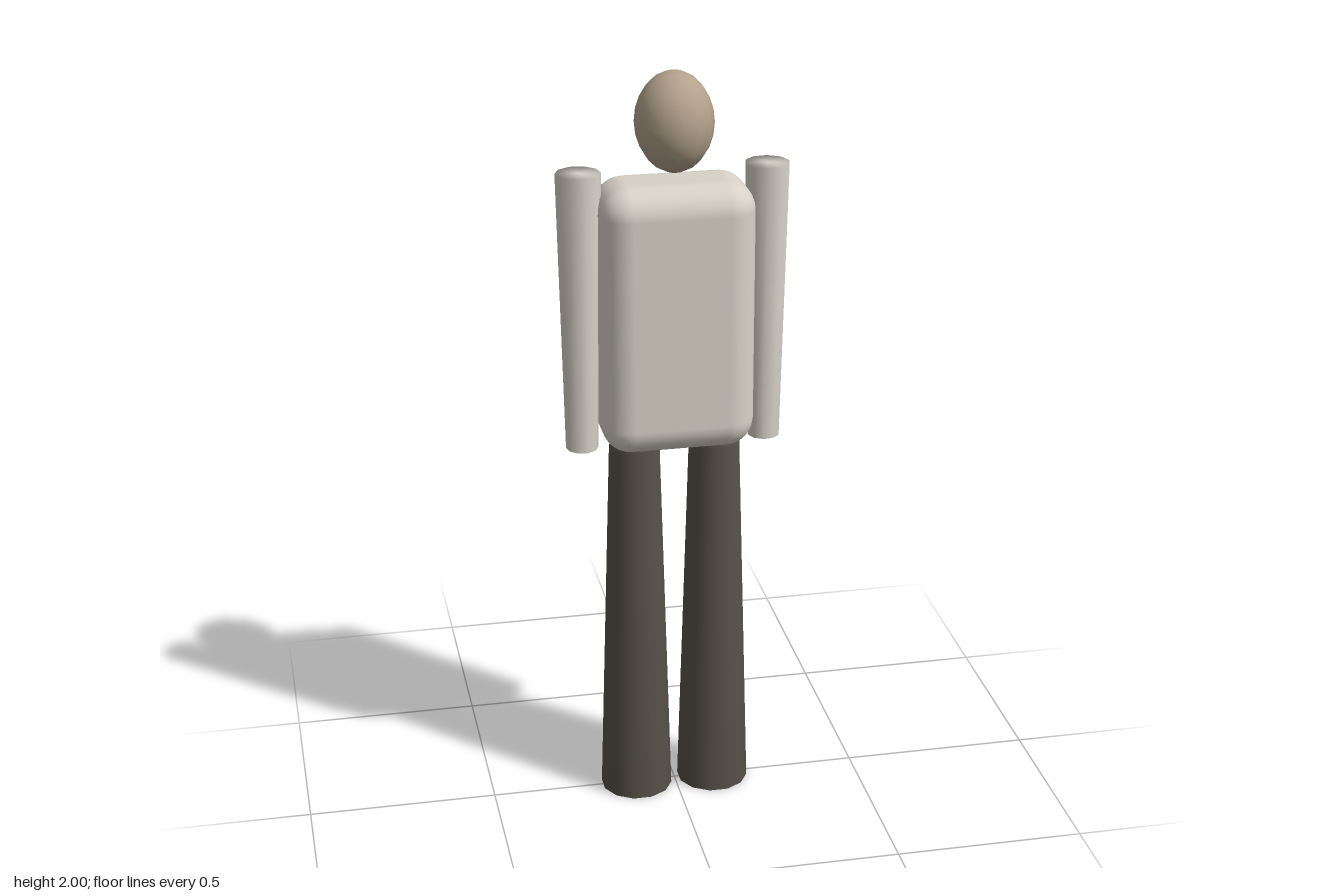
import * as THREE from 'three';
import { mergeVertices } from 'three/addons/utils/BufferGeometryUtils.js';
import { RoundedBoxGeometry } from 'three/addons/geometries/RoundedBoxGeometry.js';

const material = (color) => new THREE.MeshStandardMaterial({ color });

// Tapered limb whose caps share vertices with the side, giving soft rims
function limbGeometry(rTop, rBottom, height, sides, turn) {
  const g = new THREE.CylinderGeometry(rTop, rBottom, height, sides, 1, false, turn);
  g.deleteAttribute('normal');
  g.deleteAttribute('uv');
  const soft = mergeVertices(g, 1e-4);
  soft.computeVertexNormals();
  return soft;
}

export function createModel() {
  const model = new THREE.Group();
  const skin = material(0xb3a28c);
  const shirt = material(0xd8d2c8);
  const trousers = material(0x58524a);

  const add = (name, geometry, mat, x, y, z) => {
    const mesh = new THREE.Mesh(geometry, mat);
    mesh.name = name;
    mesh.position.set(x, y, z);
    model.add(mesh);
    return mesh;
  };

  // Egg-shaped head
  const head = new THREE.SphereGeometry(1, 14, 12, Math.PI / 2).scale(0.1, 0.128, 0.109);
  add('head', head, skin, 0, 1.872, 0);

  // Pillow-like torso
  add('torso', new RoundedBoxGeometry(0.396, 0.71, 0.23, 4, 0.075), shirt, 0, 1.37, 0);

  // Arms and legs, mirrored left and right
  for (const [side, s] of [['left', 1], ['right', -1]]) {
    add(side + 'Arm', limbGeometry(0.058, 0.042, 0.74, 10, s * (Math.PI / 2 + 0.1)), shirt, s * 0.241, 1.38, -0.012);
    add(side + 'Leg', limbGeometry(0.066, 0.096, 1.01, 12, Math.PI / 12), trousers, s * 0.106, 0.505, 0);
  }
  return model;
}
